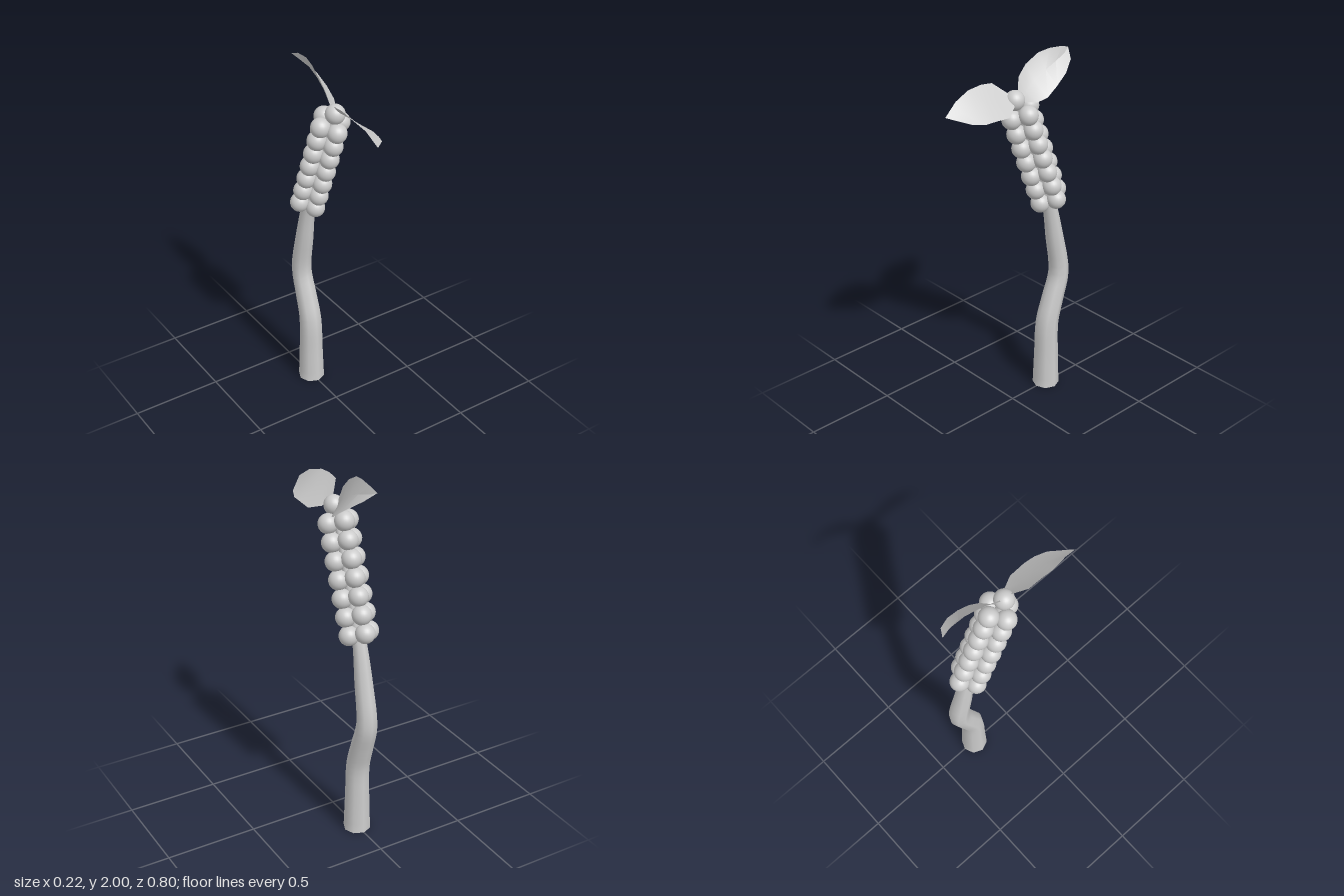
import * as THREE from 'three';
import { toCreasedNormals } from 'three/addons/utils/BufferGeometryUtils.js';

const material = new THREE.MeshStandardMaterial({ color: 0xcccccc });
const thinMaterial = new THREE.MeshStandardMaterial({ color: 0xcccccc, side: THREE.DoubleSide });

function addMesh(parent, name, geometry, mat = material) {
  const mesh = new THREE.Mesh(geometry, mat);
  mesh.name = name;
  parent.add(mesh);
  return mesh;
}

function indexed(points, index) {
  const geometry = new THREE.BufferGeometry();
  geometry.setAttribute('position', new THREE.Float32BufferAttribute(points, 3));
  geometry.setIndex(index);
  geometry.computeVertexNormals();
  return geometry;
}

// Tapered eight-sided stem swept along a bent path in the YZ plane.
// Each station is [y, z, radius].
function stemGeometry(stations) {
  const sides = 8, steps = 32;
  const path = new THREE.CatmullRomCurve3(stations.map(([y, z]) => new THREE.Vector3(0, y, z)));
  const radii = new THREE.CatmullRomCurve3(stations.map(([, , r]) => new THREE.Vector3(r, 0, 0)));
  const points = [], index = [];
  for (let i = 0; i <= steps; i++) {
    const p = path.getPoint(i / steps);
    const t = i === 0 ? new THREE.Vector3(0, 1, 0) : path.getTangent(i / steps);
    const r = radii.getPoint(i / steps).x;
    for (let j = 0; j < sides; j++) {
      const a = (j / sides) * Math.PI * 2;
      const c = r * Math.cos(a), s = r * Math.sin(a);
      points.push(c, p.y - s * t.z, p.z + s * t.y);
      if (i === steps) continue;
      const k = i * sides + j, n = i * sides + (j + 1) % sides;
      index.push(k, k + sides, n, n, k + sides, n + sides);
    }
  }
  return indexed(points, index);
}

// Folded leaf: rows of [edge, midrib, edge] ending in one tip point.
function leafGeometry(rows, tip) {
  const points = [...rows.flat(2), ...tip], index = [];
  const last = rows.length * 3;
  rows.forEach((_, i) => {
    for (let j = 0; j < 2; j++) {
      const a = i * 3 + j, b = a + 1;
      if (i === rows.length - 1) index.push(a, last, b);
      else index.push(a, a + 3, b, b, a + 3, b + 3);
    }
  });
  return toCreasedNormals(indexed(points, index), 0.4);
}

export function createModel() {
  const model = new THREE.Group();
  model.name = 'flowerStalk';

  // Stem and its flat base
  addMesh(model, 'stem', stemGeometry([
    [0, -0.257, 0.074], [0.2, -0.257, 0.067], [0.4, -0.262, 0.063], [0.54, -0.302, 0.06],
    [0.69, -0.344, 0.056], [0.92, -0.308, 0.049], [1.15, -0.26, 0.037], [1.45, -0.155, 0.03], [1.77, -0.03, 0.02],
  ]));
  const base = addMesh(model, 'stemBase', new THREE.CircleGeometry(0.074, 8));
  base.rotation.x = Math.PI / 2;
  base.position.z = -0.257;

  // Seven tilted rings of four round buds, plus one at the top
  const buds = new THREE.Group();
  buds.name = 'buds';
  model.add(buds);
  const ball = new THREE.SphereGeometry(0.052, 24, 16);
  const start = new THREE.Vector3(0, 1.182, -0.257), end = new THREE.Vector3(0, 1.713, -0.052);
  const axis = end.clone().sub(start).normalize();
  const across = new THREE.Vector3(0, -axis.z, axis.y);
  for (let i = 0; i < 7; i++) {
    const center = start.clone().lerp(end, i / 6);
    for (let j = 0; j < 4; j++) {
      const a = (j * Math.PI) / 2;
      const bud = addMesh(buds, 'bud', ball);
      bud.position.copy(center).addScaledVector(across, 0.064 * Math.sin(a));
      bud.position.x += 0.059 * Math.cos(a);
    }
  }
  addMesh(buds, 'topBud', ball).position.set(0.002, 1.788, -0.012);

  // Front leaf, nearly level
  addMesh(model, 'frontLeaf', leafGeometry([
    [[-0.015, 1.83, 0.02], [0.0, 1.812, 0.02], [0.045, 1.777, 0.028]],
    [[-0.065, 1.885, 0.08], [0.005, 1.815, 0.1], [0.085, 1.75, 0.1]],
    [[-0.068, 1.893, 0.15], [0.007, 1.816, 0.17], [0.086, 1.757, 0.19]],
    [[-0.07, 1.885, 0.23], [0.003, 1.816, 0.245], [0.08, 1.755, 0.25]],
    [[-0.052, 1.857, 0.325], [-0.01, 1.81, 0.32], [0.055, 1.765, 0.31]],
  ], [-0.037, 1.8, 0.405]), thinMaterial);

  // Back leaf, rising; the midrib is sunk between its edges
  const backEdges = [
    [[-0.005, 1.81, -0.037], [0.02, 1.77, -0.06]],
    [[-0.022, 1.894, -0.06], [0.07, 1.772, -0.105]],
    [[-0.025, 1.947, -0.11], [0.09, 1.79, -0.155]],
    [[-0.018, 1.99, -0.19], [0.09, 1.835, -0.22]],
    [[-0.007, 2.0, -0.257], [0.078, 1.883, -0.294]],
    [[-0.002, 1.992, -0.34], [0.045, 1.93, -0.358]],
  ];
  const backRows = backEdges.map(([u, v], i) => {
    const sink = i === 0 ? 0 : 0.014;
    return [u, [(u[0] + v[0]) / 2 - sink, (u[1] + v[1]) / 2 - sink / 2, (u[2] + v[2]) / 2], v];
  });
  addMesh(model, 'backLeaf', leafGeometry(backRows, [-0.01, 1.973, -0.392]), thinMaterial);

  return model;
}
